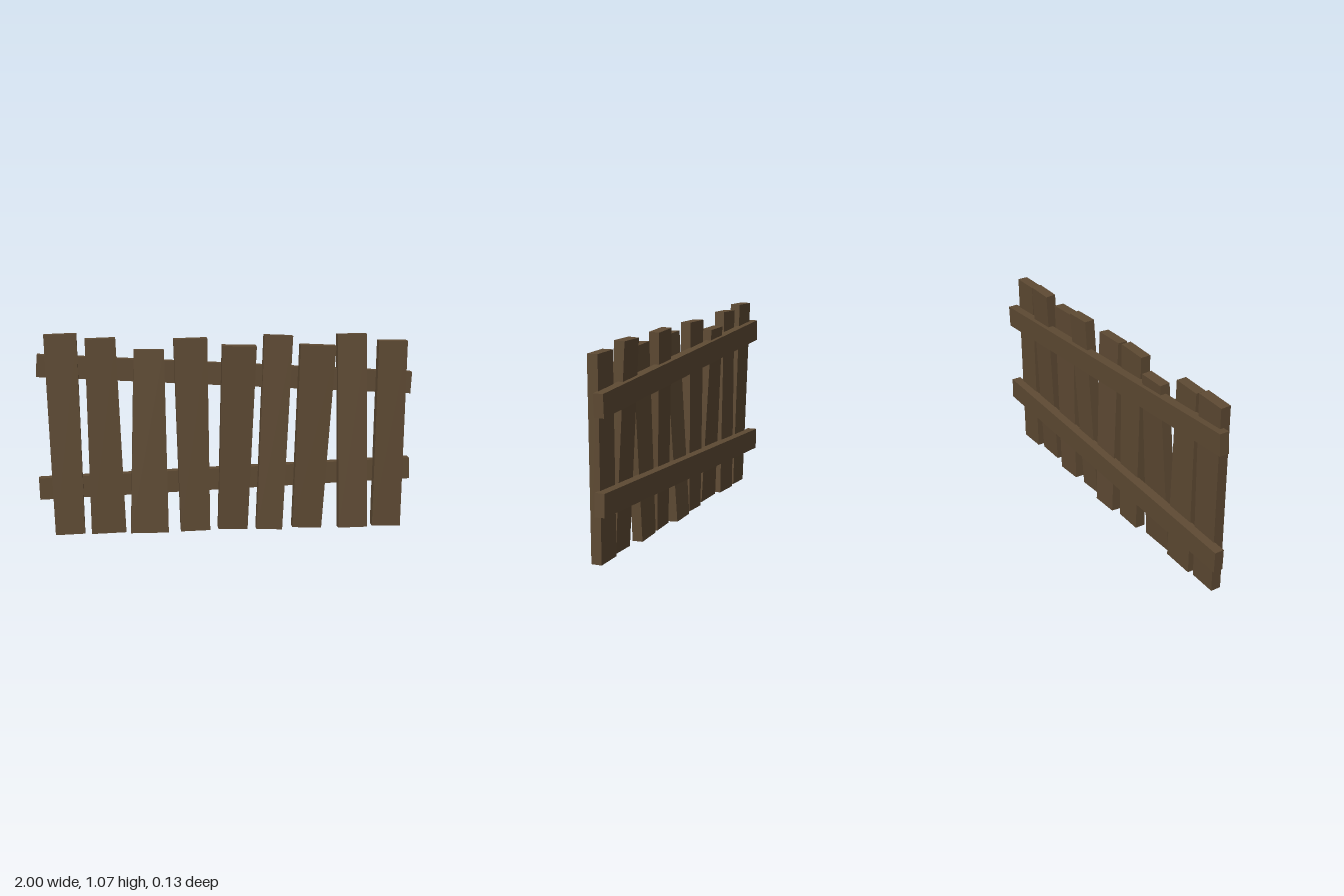
import * as THREE from 'three';

const wood = new THREE.MeshStandardMaterial({ color: 0x5e4a33 });
wood.name = 'weathered brown wood';

// Unit box whose corners are placed by a rule taking the sign of each axis
function shapedBox(name, place) {
  const geometry = new THREE.BoxGeometry(2, 2, 2);
  const p = geometry.attributes.position;
  for (let i = 0; i < p.count; i++) {
    p.setXYZ(i, ...place(p.getX(i), p.getY(i), p.getZ(i)));
  }
  geometry.computeVertexNormals();
  const mesh = new THREE.Mesh(geometry, wood);
  mesh.name = name;
  return mesh;
}

// Upright board: left and right x at the bottom and top, height, centre z at both ends
function picket(index, [bl, br, tl, tr, height, zBottom, zTop]) {
  const leanX = (tl + tr - bl - br) / 2 / height;
  const leanZ = (zTop - zBottom) / height;
  const thick = 0.055;
  return shapedBox('picket' + (index + 1), (sx, sy, sz) => {
    const [left, right] = sy > 0 ? [tl, tr] : [bl, br];
    const half = (right - left) / 2;
    const z = sz * thick / 2;
    const y = (sy > 0 ? height : 0.008) - leanX * sx * half - leanZ * z;
    return [(left + right) / 2 + sx * half, y, (sy > 0 ? zTop : zBottom) + z];
  });
}

// Sloping cross rail: centre height at the left and right ends of the front view
function rail(name, yStart, yEnd) {
  const half = 0.058;
  const slope = (yEnd - yStart) / 2;
  return shapedBox(name, (sx, sy, sz) => [
    sx * (1 - Math.abs(slope) * half) - slope * sy * half,
    (sx > 0 ? yEnd : yStart) + sy * half,
    -0.042 + sz * 0.026,
  ]);
}

export function createModel() {
  const fence = new THREE.Group();
  fence.name = 'crookedFence';

  // Uneven pickets
  const pickets = [
    [-0.917, -0.762, -0.955, -0.785, 1.073, 0.012, -0.010],
    [-0.727, -0.543, -0.743, -0.585, 1.050, 0.006, 0.006],
    [-0.519, -0.318, -0.490, -0.332, 0.984, 0.028, -0.022],
    [-0.251, -0.094, -0.283, -0.107, 1.044, 0.006, 0.006],
    [-0.048, 0.110, -0.030, 0.150, 1.007, -0.014, 0.036],
    [0.155, 0.294, 0.198, 0.350, 1.052, 0.018, -0.022],
    [0.353, 0.510, 0.385, 0.575, 1.002, 0.000, 0.016],
    [0.600, 0.757, 0.590, 0.746, 1.054, 0.026, -0.026],
    [0.789, 0.944, 0.805, 0.960, 1.020, 0.006, 0.006],
  ];
  pickets.forEach((data, i) => fence.add(picket(i, data)));

  // Two rails across the back
  fence.add(rail('upperRail', 0.906, 0.786));
  fence.add(rail('lowerRail', 0.246, 0.316));
  return fence;
}
